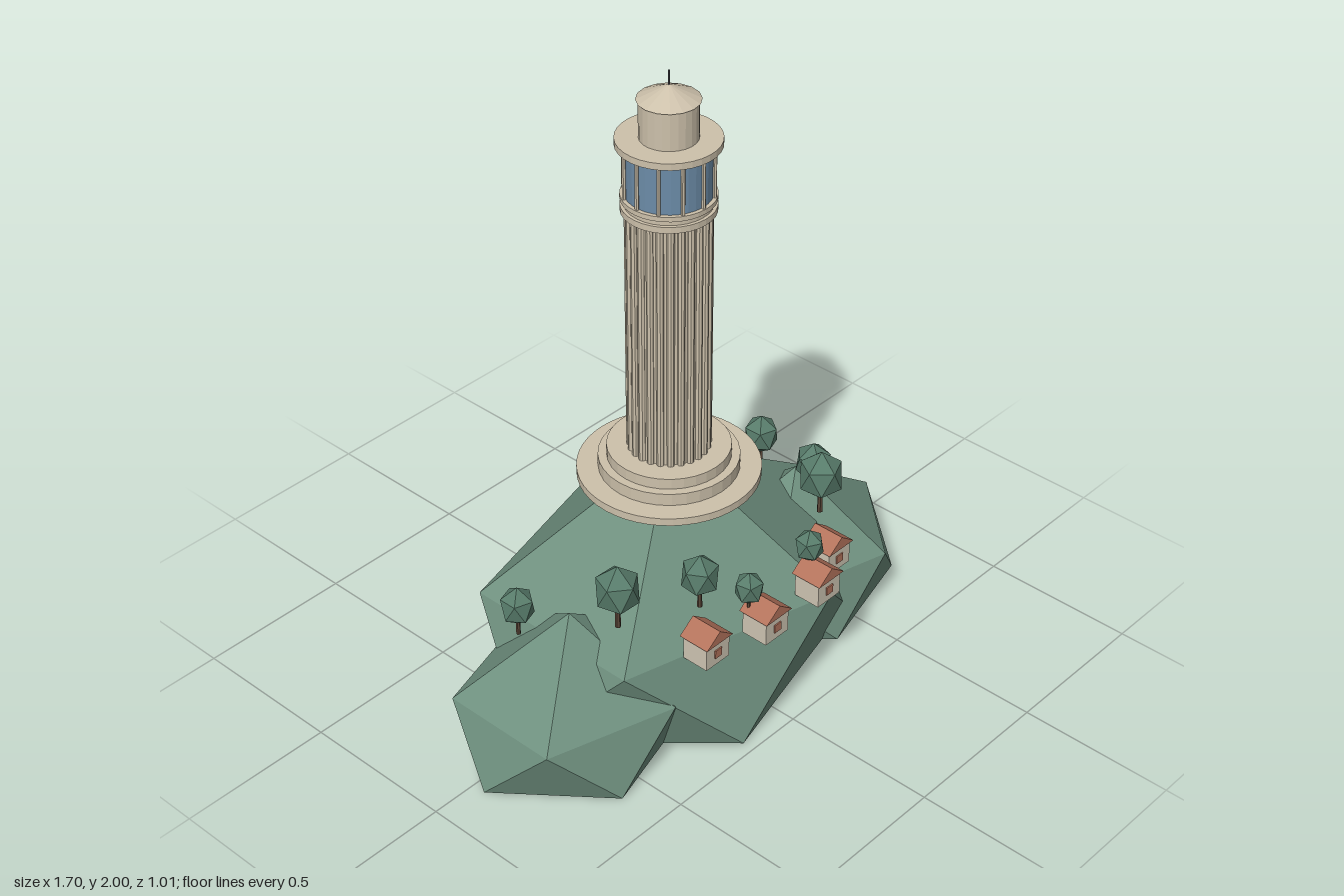
import * as THREE from 'three';

const mat = (name, color) => new THREE.MeshStandardMaterial({ name, color, flatShading: true });

// Faceted twenty-sided solid standing on a point; optionally cut flat at y = 0
function facetedSolid(ringX, poleY, ringZ, flatBase) {
  const g = new THREE.IcosahedronGeometry(1, 0);
  g.rotateZ(-Math.atan(2 / (1 + Math.sqrt(5))));
  g.scale(ringX / 0.894, poleY, ringZ / 0.894);
  if (flatBase) {
    const p = g.attributes.position;
    for (let i = 0; i < p.count; i++) p.setY(i, Math.max(0, p.getY(i)));
  }
  g.computeVertexNormals();
  return g;
}

export function createModel() {
  const model = new THREE.Group();
  const hillGreen = mat('hillGreen', 0x6f907f);
  const leafGreen = mat('leafGreen', 0x587c6b);
  const bark = mat('bark', 0x5a4638);
  const stone = mat('stone', 0xcdc1ab);
  const wall = mat('wall', 0xcfc6b4);
  const roofClay = mat('roofClay', 0xb4735c);
  const glass = mat('glass', 0x6c8ca8);
  const metal = mat('metal', 0x55565a);

  const add = (parent, name, geometry, material, x = 0, y = 0, z = 0) => {
    const m = new THREE.Mesh(geometry, material);
    m.name = name;
    m.position.set(x, y, z);
    parent.add(m);
    return m;
  };

  // Rocky hills
  add(model, 'mainHill', facetedSolid(0.635, 0.755, 0.506, true), hillGreen, 0.015, 0, -0.02);
  add(model, 'rightHill', facetedSolid(0.367, 0.45, 0.33, true), hillGreen, -0.483, 0, 0.045);
  add(model, 'leftHill', facetedSolid(0.362, 0.47, 0.295, true), hillGreen, 0.488, 0, 0.08);

  // Tower, stacked from plinth to mast
  const tower = new THREE.Group();
  tower.name = 'tower';
  tower.position.set(0.015, 0, -0.02);
  model.add(tower);
  const disc = (name, r, y0, y1, material = stone, rTop = r, sides = 32) =>
    add(tower, name, new THREE.CylinderGeometry(rTop, r, y1 - y0, sides), material, 0, (y0 + y1) / 2, 0);

  disc('lowerStep', 0.276, 0.665, 0.69, stone, 0.276, 48);
  disc('middleStep', 0.212, 0.69, 0.73);
  disc('upperStep', 0.186, 0.73, 0.765);
  disc('shaft', 0.115, 0.765, 1.57);
  disc('lowerCornice', 0.138, 1.568, 1.588);
  disc('corniceNeck', 0.128, 1.588, 1.605);
  disc('upperCornice', 0.138, 1.605, 1.62);
  disc('lanternGlass', 0.126, 1.62, 1.775, glass);
  disc('lanternRoof', 0.152, 1.775, 1.796);
  disc('topDrum', 0.085, 1.796, 1.915, stone, 0.085, 24);
  disc('capRoof', 0.092, 1.913, 1.957, stone, 0.002, 16);
  disc('mast', 0.003, 1.95, 2, metal, 0.003, 6);

  // Upright members set in a circle
  const around = (name, count, radius, thickness, y0, y1, sides) => {
    for (let i = 0; i < count; i++) {
      const a = (i / count) * Math.PI * 2;
      add(tower, name, new THREE.CylinderGeometry(thickness, thickness, y1 - y0, sides), stone,
        Math.sin(a) * radius, (y0 + y1) / 2, Math.cos(a) * radius);
    }
  };
  around('shaftRib', 24, 0.115, 0.0115, 0.765, 1.57, 8);
  around('lanternPost', 12, 0.13, 0.006, 1.62, 1.775, 6);

  // Houses: x, floor height, z
  const gable = new THREE.Shape([
    new THREE.Vector2(-0.056, 0), new THREE.Vector2(0.056, 0), new THREE.Vector2(0, 0.042)]);
  const roofGeometry = new THREE.ExtrudeGeometry(gable, { depth: 0.106, bevelEnabled: false });
  roofGeometry.translate(0, 0, -0.053);
  for (const [x, y, z] of [
    [-0.255, 0.335, 0.375], [-0.085, 0.37, 0.453], [0.15, 0.37, 0.453], [0.32, 0.335, 0.352]]) {
    const house = new THREE.Group();
    house.name = 'house';
    house.position.set(x, y, z);
    add(house, 'houseWalls', new THREE.BoxGeometry(0.098, 0.082, 0.09), wall, 0, 0.041, 0);
    add(house, 'houseRoof', roofGeometry, roofClay, 0, 0.08, 0);
    add(house, 'houseWindow', new THREE.BoxGeometry(0.028, 0.028, 0.006), roofClay, 0, 0.04, 0.046);
    model.add(house);
  }

  // Trees: x, crown centre height, z, crown radius
  const trees = [
    [-0.56, 0.45, -0.09, 0.05], [-0.422, 0.575, 0.182, 0.064], [-0.255, 0.62, 0.348, 0.054],
    [-0.12, 0.532, 0.418, 0.042], [0.15, 0.532, 0.418, 0.042], [0.32, 0.645, 0.315, 0.064],
    [0.488, 0.52, 0.148, 0.053], [0.556, 0.46, -0.122, 0.052]];
  trees.forEach(([x, y, z, r], i) => {
    const tree = new THREE.Group();
    tree.name = 'tree';
    tree.position.set(x, y, z);
    tree.rotation.y = i * 0.9;
    add(tree, 'treeCrown', facetedSolid(r, r * 1.33, r, false), leafGreen);
    add(tree, 'treeTrunk', new THREE.CylinderGeometry(r * 0.1, r * 0.14, r * 2.1, 6), bark, 0, -r * 1.05, 0);
    model.add(tree);
  });

  return model;
}
